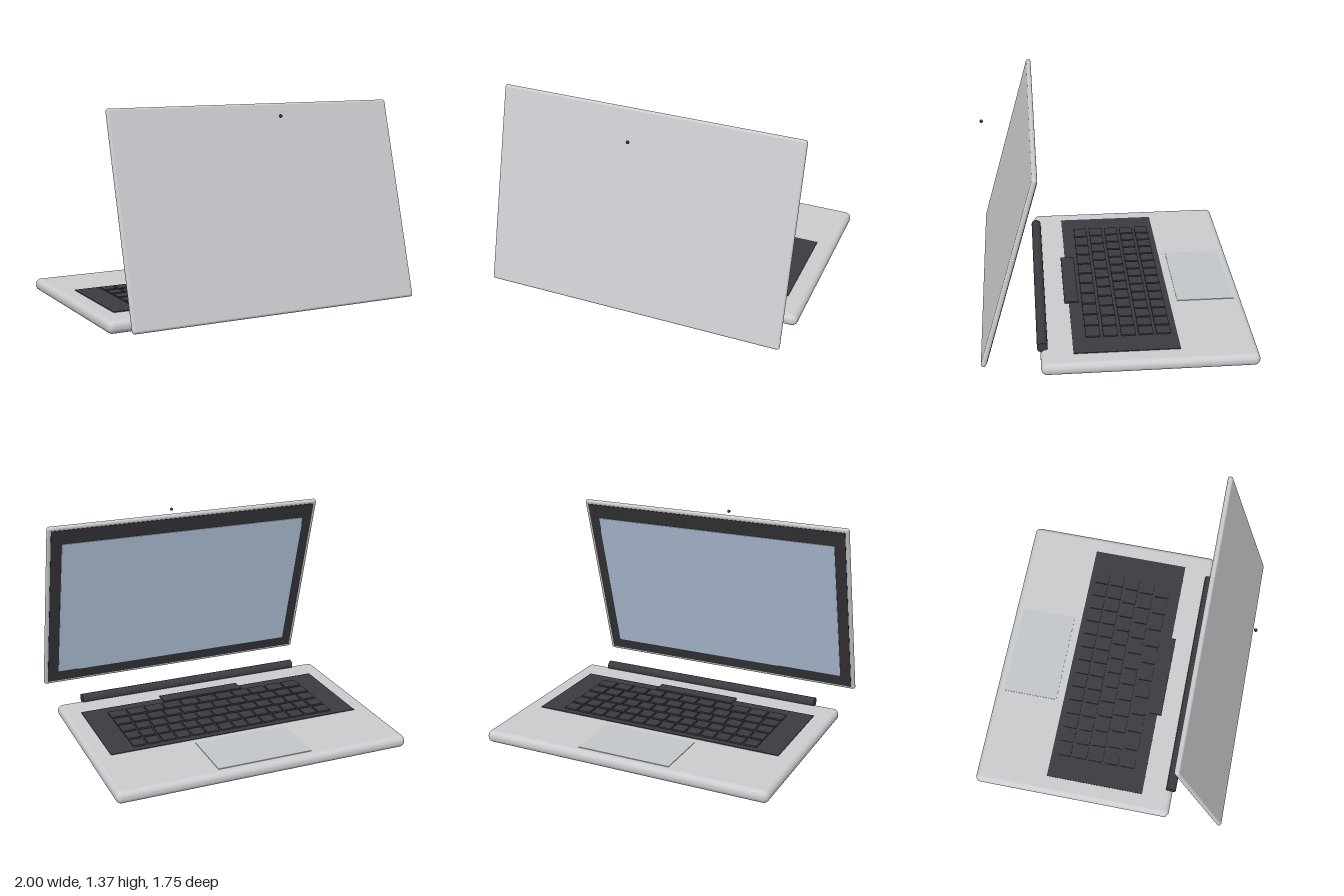
import * as THREE from 'three';
import { RoundedBoxGeometry } from 'three/addons/geometries/RoundedBoxGeometry.js';

const material = (name, color) => {
  const m = new THREE.MeshStandardMaterial({ color });
  m.name = name;
  return m;
};

export function createModel() {
  const aluminium = material('aluminium', 0xcacccf);
  const padGrey = material('trackpad grey', 0xc3c7c9);
  const deckBlack = material('keyboard black', 0x3c3b41);
  const bezelBlack = material('bezel black', 0x35353a);
  const glass = material('screen blue grey', 0xb4c7de);

  const model = new THREE.Group();
  model.name = 'laptop';

  const add = (parent, name, geometry, mat, x, y, z) => {
    const mesh = new THREE.Mesh(geometry, mat);
    mesh.name = name;
    mesh.position.set(x, y, z);
    parent.add(mesh);
    return mesh;
  };
  const box = (w, h, d) => new THREE.BoxGeometry(w, h, d);

  // Base with soft edges, trackpad and keyboard tray
  add(model, 'base', new RoundedBoxGeometry(2, 0.082, 1.38, 5, 0.038), aluminium, 0, 0.041, -0.185);
  add(model, 'trackpad', box(0.645, 0.006, 0.385), padGrey, 0, 0.083, -0.6275);
  add(model, 'keyboardTray', box(1.76, 0.008, 0.68), deckBlack, 0, 0.083, -0.042);

  // Five rows of keys, each spread over the same width, and the space bar
  const keyboard = new THREE.Group();
  keyboard.name = 'keyboard';
  model.add(keyboard);
  const rowWidth = 1.445, gap = 0.015;
  [14, 14, 13, 12, 11].forEach((count, row) => {
    const pitch = rowWidth / count;
    const geometry = box(pitch - gap, 0.014, 0.094);
    for (let i = 0; i < count; i++) {
      add(keyboard, 'key', geometry, deckBlack, (i - (count - 1) / 2) * pitch, 0.09, -0.294 + row * 0.1145);
    }
  });
  add(keyboard, 'spaceBar', box(0.59, 0.014, 0.094), deckBlack, 0, 0.09, 0.281);

  // Hinge barrel along the far edge
  const hinge = add(model, 'hinge', new THREE.CylinderGeometry(0.034, 0.034, 1.64, 24), deckBlack, 0, 0.097, 0.492);
  hinge.rotation.z = Math.PI / 2;

  // Tilted lid, with bezel and screen on its inner side
  const lid = new THREE.Group();
  lid.name = 'lid';
  lid.position.set(0, 0.73, 0.682);
  lid.rotation.x = -0.275;
  model.add(lid);
  add(lid, 'lidShell', new RoundedBoxGeometry(2, 1.32, 0.034, 4, 0.0165), aluminium, 0, 0, 0);
  add(lid, 'bezel', box(1.95, 1.27, 0.006), bezelBlack, 0, 0, -0.017);
  add(lid, 'screen', box(1.8, 1.08, 0.004), glass, 0, -0.01, -0.027);

  // Small camera bead standing off the lid
  add(model, 'camera', new THREE.SphereGeometry(0.011, 16, 12), bezelBlack, 0, 1.31, 0.826);

  return model;
}
